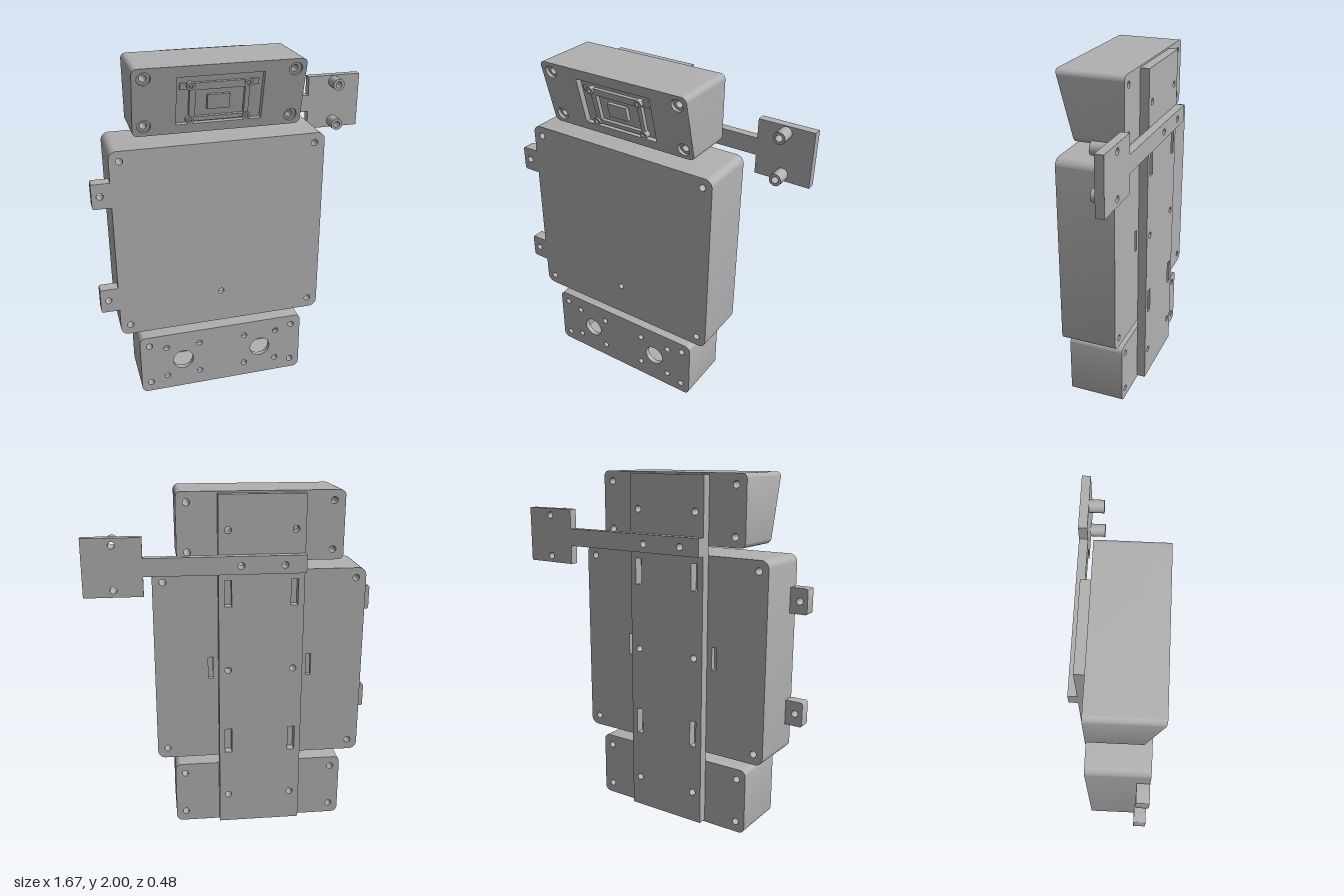
import * as THREE from 'three';
import { toCreasedNormals } from 'three/addons/utils/BufferGeometryUtils.js';

const MID = -0.135;      // shared centre line of plate and boxes
const BACK = -0.143;     // rear face of the boxes
const FRONT = 0.19;      // front face of the upright boxes

// Rounded rectangle outline, as a Shape or a Path
function rect(x0, x1, y0, y1, r = 0, Type = THREE.Shape) {
  const s = new Type();
  s.moveTo(x0 + r, y0);
  s.lineTo(x1 - r, y0);
  if (r) s.absarc(x1 - r, y0 + r, r, -Math.PI / 2, 0);
  s.lineTo(x1, y1 - r);
  if (r) s.absarc(x1 - r, y1 - r, r, 0, Math.PI / 2);
  s.lineTo(x0 + r, y1);
  if (r) s.absarc(x0 + r, y1 - r, r, Math.PI / 2, Math.PI);
  s.lineTo(x0, y0 + r);
  if (r) s.absarc(x0 + r, y0 + r, r, Math.PI, Math.PI * 1.5);
  return s;
}
const cut = (x0, x1, y0, y1, r = 0) => rect(x0, x1, y0, y1, r, THREE.Path);
const slot = (x, y, w, h) => cut(x - w / 2, x + w / 2, y - h / 2, y + h / 2);
const circle = (x, y, r) => new THREE.Shape().absarc(x, y, r, 0, Math.PI * 2);
const hole = (x, y, r = 0.019) => new THREE.Path().absarc(x, y, r, 0, Math.PI * 2);
const grid = (xs, ys, make) => xs.flatMap((x) => ys.map((y) => make(x, y)));

export function createModel() {
  const model = new THREE.Group();
  const grey = new THREE.MeshStandardMaterial({ color: 0xb0b0b0 });
  grey.name = 'plain grey';

  // Extruded slab between two depths; a depth may be a function of y for slanted faces
  function slab(parent, name, shape, holes, back, front) {
    shape.holes.push(...holes);
    const geo = new THREE.ExtrudeGeometry(shape, { depth: 1, bevelEnabled: false, curveSegments: 10 });
    const p = geo.attributes.position;
    for (let i = 0; i < p.count; i++) {
      const d = p.getZ(i) > 0.5 ? front : back;
      p.setZ(i, typeof d === 'function' ? d(p.getY(i)) : d);
    }
    const mesh = new THREE.Mesh(toCreasedNormals(geo, 0.6), grey);
    mesh.name = name;
    parent.add(mesh);
    return mesh;
  }
  function group(name) {
    const g = new THREE.Group();
    g.name = name;
    model.add(g);
    return g;
  }
  const plateXs = [-0.32, 0.053];

  // Main enclosure: rear wall, hollow body, front cover
  const main = group('mainEnclosure');
  const mainShape = () => rect(-0.737, 0.469, 0.44, 1.567, 0.045);
  const mainScrews = () => grid([-0.68, 0.41], [0.5, 1.51], (x, y) => hole(x, y));
  slab(main, 'mainRearWall', mainShape(), [
    ...mainScrews(),
    ...plateXs.map((x) => hole(x, 1.0)),
    ...[MID - 0.285, MID + 0.285].map((x) => slot(x, 1.0, 0.028, 0.13)),
  ], BACK, BACK + 0.03);
  slab(main, 'mainBody', mainShape(), [...mainScrews(), cut(-0.63, 0.36, 0.48, 1.53)], BACK + 0.03, FRONT - 0.03);
  slab(main, 'mainFrontCover', mainShape(), [...mainScrews(), hole(-0.135, 0.64, 0.017)], FRONT - 0.03, FRONT);

  // Side mounting ears
  for (const y of [0.68, 1.323]) {
    slab(main, 'mountingEar', rect(-0.84, -0.73, y - 0.072, y + 0.072, 0.012), [hole(-0.795, y)], 0.12, FRONT);
  }

  // Lower enclosure with two large openings
  const lower = group('lowerEnclosure');
  const lowerShape = () => rect(-0.636, 0.368, 0.003, 0.386, 0.035);
  const lowerScrews = () => grid([-0.58, 0.31], [0.065, 0.325], (x, y) => hole(x, y));
  slab(lower, 'lowerRearWall', lowerShape(),
    [...lowerScrews(), ...plateXs.map((x) => hole(x, 0.195))], BACK, BACK + 0.03);
  slab(lower, 'lowerBody', lowerShape(), [...lowerScrews(), cut(-0.54, 0.27, 0.03, 0.36)], BACK + 0.03, FRONT - 0.03);
  slab(lower, 'lowerFrontPanel', lowerShape(), [
    ...lowerScrews(),
    ...[-0.377, 0.108].map((x) => hole(x, 0.195, 0.062)),
    ...grid([-0.478, -0.275, 0.007, 0.208], [0.094, 0.296], (x, y) => hole(x, y, 0.018)),
  ], FRONT - 0.03, FRONT);

  // Upper enclosure with a slanted face
  const upper = group('upperEnclosure');
  const face = (offset) => (y) => 0.14 + (y - 1.618) * 0.263 + offset;
  const upperShape = () => rect(-0.598, 0.33, 1.618, 2, 0.03);
  const upperScrews = (r) => grid([-0.536, 0.271], [1.675, 1.943], (x, y) => hole(x, y, r));
  const windowCut = () => cut(-0.366, 0.103, 1.67, 1.94);
  slab(upper, 'upperRearWall', upperShape(),
    [...upperScrews(), ...plateXs.map((x) => hole(x, 1.8))], BACK, BACK + 0.03);
  slab(upper, 'upperBody', upperShape(), [...upperScrews(), cut(-0.48, 0.21, 1.65, 1.97)], BACK + 0.03, face(-0.05));
  slab(upper, 'upperPanelBase', upperShape(), [...upperScrews(), windowCut()], face(-0.05), face(-0.02));
  slab(upper, 'upperPanelFace', upperShape(), [...upperScrews(0.036), windowCut()], face(-0.02), face(0));

  // Sensor module seated in the window
  slab(upper, 'windowFloor', rect(-0.37, 0.107, 1.665, 1.945), [], face(-0.06), face(-0.035));
  slab(upper, 'sensorBracket', rect(-0.345, 0.08, 1.865, 1.9), [], face(-0.035), face(-0.022));
  slab(upper, 'sensorFrame', rect(-0.295, 0.03, 1.68, 1.9),
    [cut(-0.262, 0.005, 1.705, 1.86)], face(-0.035), face(-0.012));
  slab(upper, 'sensorBlock', rect(-0.197, -0.075, 1.745, 1.828), [], face(-0.035), face(-0.012));
  for (const [x, y] of grid([-0.29, 0.02], [1.69, 1.885], (a, b) => [a, b])) {
    slab(upper, 'sensorPost', circle(x, y, 0.022), [hole(x, y, 0.01)], face(-0.035), face(0));
  }

  // Long rear backbone plate
  const armHoles = () => [-0.255, -0.015].map((x) => hole(x, 1.615));
  slab(model, 'backbonePlate', rect(-0.375, 0.106, 0.015, 1.99), [
    ...grid(plateXs, [0.195, 1.0, 1.8], (x, y) => hole(x, y)),
    ...grid(plateXs, [0.555, 1.45], (x, y) => slot(x, y, 0.04, 0.15)),
    ...armHoles(),
  ], -0.195, BACK);

  // Side arm with end plate and standoffs
  const arm = group('sideArm');
  slab(arm, 'armBar', rect(-0.375, 0.513, 1.567, 1.667), armHoles(), -0.243, -0.195);
  slab(arm, 'armEndPlate', rect(0.513, 0.835, 1.459, 1.779),
    [1.498, 1.74].map((y) => hole(0.673, y)), -0.243, -0.195);
  for (const y of [1.498, 1.74]) {
    slab(arm, 'standoff', circle(0.673, y, 0.035), [hole(0.673, y)], -0.195, -0.113);
  }
  return model;
}
